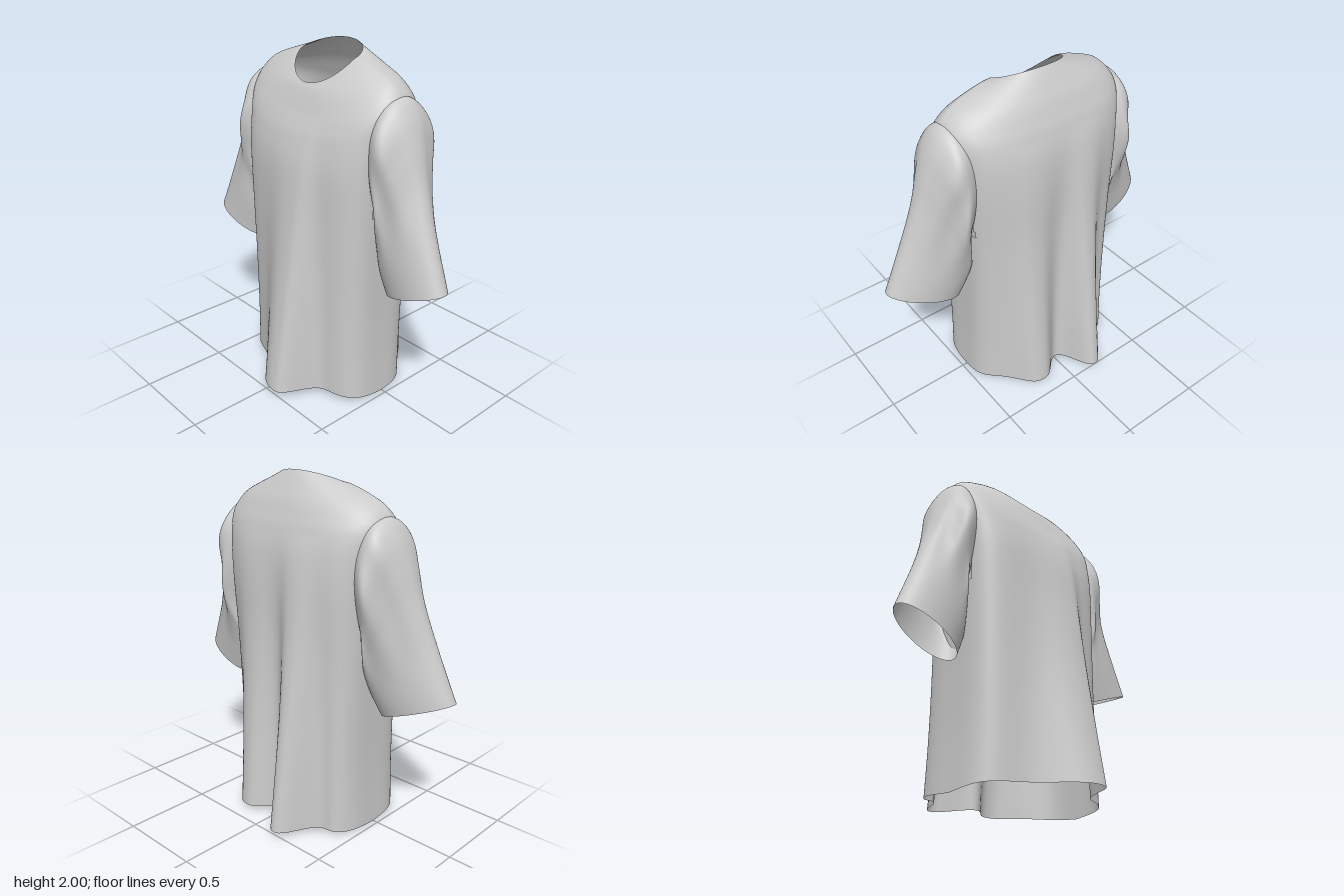
import * as THREE from 'three';

const cloth = new THREE.MeshStandardMaterial({ color: 0xcccccc, side: THREE.DoubleSide });

// Smooth interpolation through the rows of a small table
function sample(rows, t) {
  const f = t * (rows.length - 1);
  const i = Math.min(Math.floor(f), rows.length - 2);
  const u = f - i;
  const p = (k) => rows[Math.max(0, Math.min(rows.length - 1, k))];
  return rows[i].map((b, c) => {
    const a = p(i - 1)[c], d = p(i + 1)[c], e = p(i + 2)[c];
    return b + 0.5 * u * (d - a + u * (2 * a - 5 * b + 4 * d - e + u * (3 * (b - d) + e - a)));
  });
}

// Closed rings of points joined into a smooth open tube
function loft(point, segs, rings, flip = false, skip = () => false) {
  const pos = [], index = [];
  for (let j = 0; j <= rings; j++)
    for (let i = 0; i < segs; i++) pos.push(...point((i / segs) * Math.PI * 2, j / rings));
  for (let j = 0; j < rings; j++)
    for (let i = 0; i < segs; i++) {
      const a = j * segs + i, b = j * segs + ((i + 1) % segs), c = a + segs, d = b + segs;
      if (skip(pos[a * 3], pos[a * 3 + 1], pos[a * 3 + 2])) continue;
      if (flip) index.push(a, c, b, b, c, d);
      else index.push(a, b, c, b, d, c);
    }
  const g = new THREE.BufferGeometry();
  g.setAttribute('position', new THREE.Float32BufferAttribute(pos, 3));
  g.setIndex(index);
  g.computeVertexNormals();
  return g;
}

// Rounded ridge used for the folds
const bump = (x, at, width) => Math.exp(-(Math.abs((x - at) / width) ** 2.6));

// Half width, side y, front y, front z, back y, back z, squareness
const bodyRows = [
  [0.47, 0.005, 0.05, 0.29, 0.035, -0.30, 3.9],
  [0.462, 0.32, 0.34, 0.29, 0.34, -0.30, 3.9],
  [0.465, 0.7, 0.7, 0.29, 0.7, -0.30, 3.9],
  [0.478, 1.08, 1.08, 0.292, 1.08, -0.305, 3.8],
  [0.495, 1.38, 1.36, 0.29, 1.38, -0.315, 3.6],
  [0.518, 1.60, 1.52, 0.268, 1.57, -0.31, 3.2],
  [0.54, 1.72, 1.61, 0.242, 1.70, -0.288, 2.8],
  [0.526, 1.792, 1.68, 0.215, 1.78, -0.262, 2.5],
  [0.465, 1.855, 1.73, 0.195, 1.85, -0.235, 2.3],
  [0.365, 1.90, 1.77, 0.177, 1.91, -0.203, 2.2],
  [0.265, 1.932, 1.79, 0.164, 1.965, -0.172, 2.1],
  [0.21, 1.94, 1.80, 0.158, 2.0, -0.15, 2],
];

function bodyPoint(angle, t) {
  const [rx, ys, yf, zf, yb, zb, n] = sample(bodyRows, t);
  const s = Math.sin(angle), c = Math.cos(angle);
  const r = (Math.abs(s) ** n + Math.abs(c) ** n) ** (-1 / n);
  const x = rx * s * r;
  const y = ys + ((c > 0 ? yf : yb) - ys) * Math.abs(c) ** (c > 0 ? 1.25 : 1.1);
  let z = (c > 0 ? zf : -zb) * c * r;
  // Hanging folds that deepen towards the hem
  const front = Math.max(0, (1.65 - y) / 1.6) ** 1.1;
  const back = Math.max(0, (1.7 - y) / 1.65) ** 1.1;
  const fade = Math.sqrt(Math.abs(c));
  if (c > 0) z += fade * front * 0.23 * bump(x, 0.1, x < 0.1 ? 0.25 : 0.105);
  else z -= fade * back * (0.22 * bump(x, -0.165, 0.105) + 0.12 * bump(x, 0.18, 0.12) + 0.03 * bump(x, -0.42, 0.07) - 0.06 * bump(x, 0.46, 0.12));
  return [x, y, z];
}

// Outer x, outer y, inner x, inner y, centre z, half depth, egg taper
const sleeveRows = [
  [0.44, 1.79, 0.46, 1.06, -0.025, 0.165, -0.2],
  [0.54, 1.785, 0.47, 1.03, -0.025, 0.202, -0.25],
  [0.608, 1.7, 0.465, 0.99, -0.025, 0.205, -0.22],
  [0.662, 1.56, 0.455, 0.94, -0.02, 0.185, 0],
  [0.718, 1.37, 0.443, 0.89, -0.015, 0.155, 0.1],
  [0.80, 1.14, 0.455, 0.80, 0, 0.134, 0.1],
  [0.92, 0.845, 0.50, 0.69, 0.012, 0.116, 0.03],
];

function sleevePoint(side) {
  return (angle, t) => {
    const [xo, yo, xi, yi, zc, hz, egg] = sample(sleeveRows, t);
    const s = Math.sin(angle), c = Math.cos(angle);
    const k = 0.5 + 0.5 * c;
    // Soft gathers that fade out before the cuff
    const gather = 0.05 * Math.sin(Math.PI * Math.min(1, t * 1.15)) * Math.sin(7 * angle + side);
    const drift = (side < 0 ? 0.045 : 0) * t * t;
    const z = zc + drift + 0.025 * t * c + hz * s * (1 - egg * c + gather);
    return [side * (xi + (xo - xi) * k + 0.15 * gather * s * s), yi + (yo - yi) * k, z];
  };
}

export function createModel() {
  const shirt = new THREE.Group();
  shirt.name = 'shirt';
  const add = (name, geometry) => {
    const mesh = new THREE.Mesh(geometry, cloth);
    mesh.name = name;
    shirt.add(mesh);
  };

  // Torso, left open at neck, hem and armholes
  const armhole = (x, y, z) => Math.abs(x) > 0.4 && Math.abs(z + 0.02) < 0.14 && y > 1.12 && y < 1.66;
  add('body', loft(bodyPoint, 192, 96, false, armhole));

  // Wide, flared sleeves
  add('leftSleeve', loft(sleevePoint(1), 96, 48, true));
  add('rightSleeve', loft(sleevePoint(-1), 96, 48, false));
  return shirt;
}
